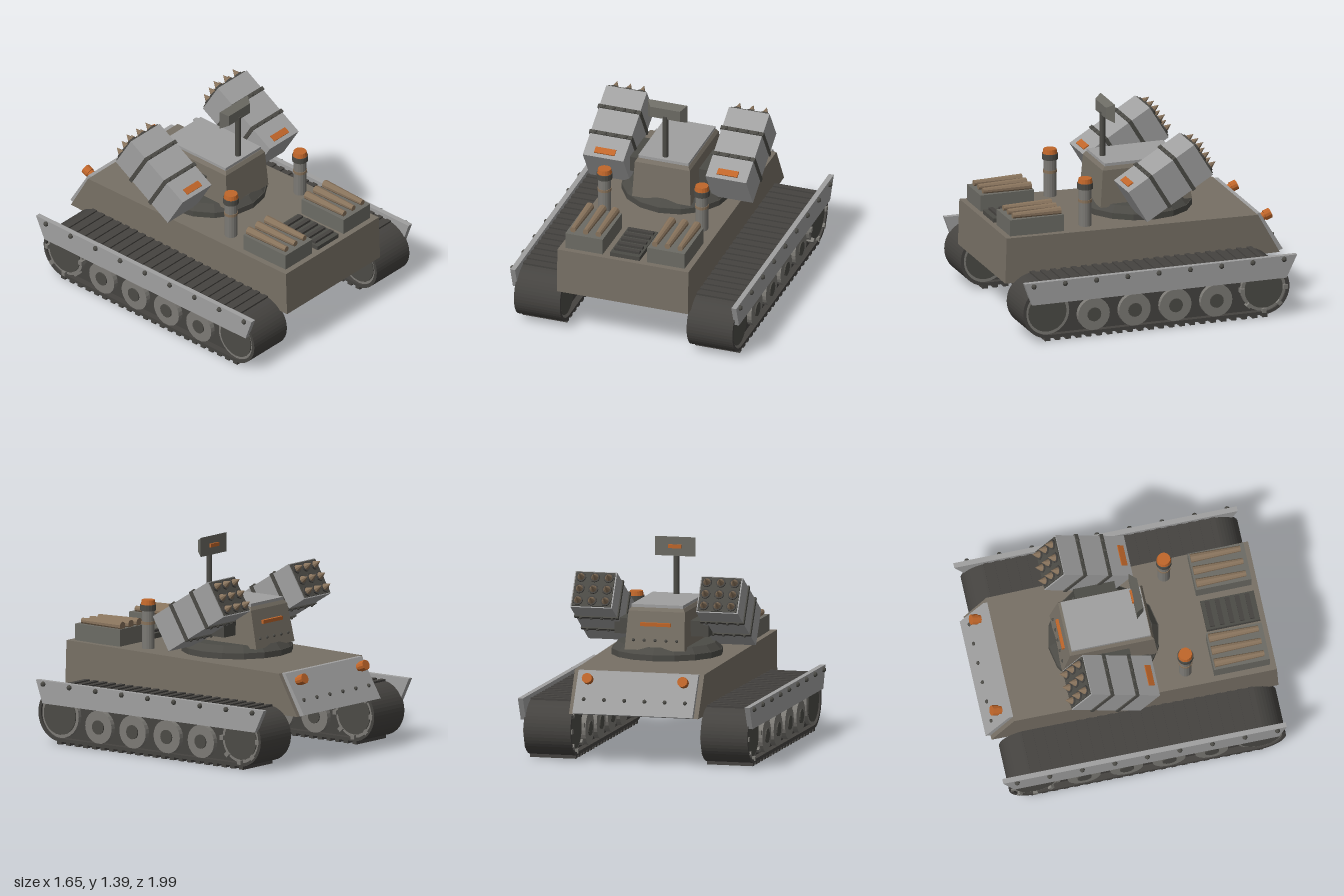
import * as THREE from 'three';

const mat = (color) => new THREE.MeshStandardMaterial({ color, flatShading: true });
const HULL = mat(0x777065), STEEL = mat(0xa0a0a0), DARK = mat(0x4c4b46), TRACK = mat(0x454340),
  WHEEL = mat(0x7c7a75), ORANGE = mat(0xc0662a), WOOD = mat(0x88735c), PANEL = mat(0x6c6b64);

function add(parent, name, geometry, material, x = 0, y = 0, z = 0) {
  const m = new THREE.Mesh(geometry, material);
  m.name = name;
  m.position.set(x, y, z);
  parent.add(m);
  return m;
}
function group(parent, name, x = 0, y = 0, z = 0) {
  const g = new THREE.Group();
  g.name = name;
  g.position.set(x, y, z);
  parent.add(g);
  return g;
}
const box = (w, h, d) => new THREE.BoxGeometry(w, h, d);
const cyl = (r1, r2, h, n = 16) => new THREE.CylinderGeometry(r1, r2, h, n);
const axle = (r, w, n = 24) => cyl(r, r, w, n).rotateZ(Math.PI / 2);
const bolt = (r = 0.014) => new THREE.SphereGeometry(r, 8, 6);

// Side profile of [z, y] points, extruded across x and centred
function across(shape, width, curveSegments = 12) {
  return new THREE.ExtrudeGeometry(shape, { depth: width, bevelEnabled: false, curveSegments })
    .translate(0, 0, -width / 2).rotateY(-Math.PI / 2);
}
const polygon = (pts) => new THREE.Shape(pts.map((p) => new THREE.Vector2(...p)));

function stadium(half, r, Type = THREE.Shape) {
  const s = new Type(), cz = 0.03, cy = 0.205;
  s.absarc(cz + half, cy, r, -Math.PI / 2, Math.PI / 2, false);
  s.absarc(cz - half, cy, r, Math.PI / 2, Math.PI * 1.5, false);
  s.closePath();
  return s;
}

// Six-sided block between two rectangles [x half width, z min, z max]
function frustum(y0, [w0, a0, b0], y1, [w1, a1, b1]) {
  const g = box(2, 2, 2), p = g.attributes.position;
  for (let i = 0; i < p.count; i++) {
    const up = p.getY(i) > 0, far = p.getZ(i) > 0;
    p.setXYZ(i, p.getX(i) * (up ? w1 : w0), up ? y1 : y0, far ? (up ? b1 : b0) : (up ? a1 : a0));
  }
  g.computeVertexNormals();
  return g;
}

function buildHull(root) {
  const g = group(root, 'hull');
  const geo = across(polygon([[0.99, 0.33], [0.98, 0.645], [-0.81, 0.612], [-0.965, 0.335]]), 0.92);
  const p = geo.attributes.position;
  for (let i = 0; i < p.count; i++) p.setX(i, p.getX(i) * (0.99 + 0.02 * p.getZ(i)));
  geo.computeVertexNormals();
  add(g, 'hullBody', geo, HULL);

  // Sloped nose plate with bolts and lamps
  add(g, 'nosePlate', across(polygon([[-0.81, 0.612], [-0.838, 0.612], [-0.998, 0.345], [-0.965, 0.335]]), 0.83), STEEL);
  for (let i = 0; i < 6; i++) add(g, 'noseBolt', bolt(), DARK, -0.35 + i * 0.14, 0.435, -0.945);
  for (const s of [-1, 1]) {
    const lamp = group(g, 'noseLamp', s * 0.33, 0.565, -0.905);
    lamp.rotation.x = -1.2;
    add(lamp, 'lampBase', cyl(0.028, 0.028, 0.06, 12), ORANGE);
    add(lamp, 'lampHead', cyl(0.035, 0.035, 0.045, 12), ORANGE, 0, 0.015);
  }

  // Engine grille
  add(g, 'grilleFrame', box(0.21, 0.035, 0.365), DARK, 0, 0.655, 0.76);
  for (let i = 0; i < 5; i++) add(g, 'grilleSlat', box(0.18, 0.018, 0.03), TRACK, 0, 0.68, 0.62 + i * 0.068);

  for (const s of [-1, 1]) {
    // Stowage bins carrying tapered logs
    add(g, 'stowageBin', box(0.265, 0.115, 0.38), PANEL, s * 0.29, 0.698, 0.75);
    for (const x of [0.2, 0.29, 0.38])
      add(g, 'log', cyl(0.02, 0.03, 0.34, 10).rotateX(Math.PI / 2), WOOD, s * x, 0.773, 0.74);

    // Beacon posts
    const b = group(g, 'beaconPost', s * 0.345, 0, 0.38);
    add(b, 'post', cyl(0.043, 0.043, 0.27), WHEEL, 0, 0.775);
    add(b, 'postBand', cyl(0.047, 0.047, 0.02), WOOD, 0, 0.815);
    add(b, 'collar', cyl(0.054, 0.054, 0.04), DARK, 0, 0.918);
    add(b, 'beacon', cyl(0.044, 0.05, 0.032), ORANGE, 0, 0.953);
  }
}

function buildTrack(root, s) {
  const g = group(root, s > 0 ? 'leftTrack' : 'rightTrack', s * 0.612);
  const belt = stadium(0.76, 0.185);
  belt.holes.push(stadium(0.76, 0.163, THREE.Path));
  add(g, 'belt', across(belt, 0.325), TRACK);
  add(g, 'innerCore', across(stadium(0.76, 0.163), 0.24), TRACK);

  // Cleats on the straight runs
  for (let i = 0; i < 22; i++) {
    const z = 0.8 - i * 0.0735;
    add(g, 'cleat', box(0.318, 0.025, 0.036), TRACK, 0, 0.0125, z);
    add(g, 'cleat', box(0.318, 0.02, 0.036), TRACK, 0, 0.39, z);
  }

  // Road wheels, idler and toothed sprocket
  for (const z of [0.47, 0.18, -0.11, -0.4]) {
    add(g, 'roadWheel', axle(0.112, 0.312), WHEEL, 0, 0.152, z);
    add(g, 'wheelHub', axle(0.048, 0.33, 16), DARK, 0, 0.152, z);
  }
  add(g, 'idlerRim', axle(0.157, 0.296), WHEEL, 0, 0.2, 0.8);
  add(g, 'idlerDisc', axle(0.135, 0.31), DARK, 0, 0.2, 0.8);
  add(g, 'sprocket', axle(0.157, 0.296), WHEEL, 0, 0.2, -0.735);
  add(g, 'sprocketDisc', axle(0.135, 0.31), DARK, 0, 0.2, -0.735);
  for (let i = 0; i < 8; i++) {
    const a = (i * Math.PI) / 4;
    const t = add(g, 'sprocketTooth', box(0.34, 0.03, 0.03), WHEEL, 0, 0.2 + 0.152 * Math.sin(a), -0.735 + 0.152 * Math.cos(a));
    t.rotation.x = -a;
  }

  // Side skirt with bolts
  const skirt = polygon([[0.92, 0.27], [0.975, 0.425], [-0.96, 0.425], [-0.885, 0.27]]);
  add(g, 'sideSkirt', across(skirt, 0.035), STEEL, s * 0.172);
  for (let i = 0; i < 9; i++) add(g, 'skirtBolt', bolt(0.018), DARK, s * 0.194, 0.402, 0.91 - i * 0.222);
}

function buildTurret(root) {
  const g = group(root, 'turret');
  add(g, 'turretRing', cyl(0.375, 0.375, 0.04), DARK, 0, 0.655, -0.105);
  add(g, 'turretRingTop', cyl(0.33, 0.37, 0.045), DARK, 0, 0.6975, -0.105);
  add(g, 'turretBody', frustum(0.7, [0.207, -0.43, 0.22], 0.955, [0.195, -0.375, 0.2]), HULL);
  add(g, 'turretEdge', frustum(0.955, [0.195, -0.375, 0.2], 0.978, [0.18, -0.36, 0.185]), HULL);
  add(g, 'roofPlate', box(0.355, 0.022, 0.54), STEEL, 0, 0.987, -0.09);
  add(g, 'visionSlit', box(0.21, 0.024, 0.03), ORANGE, 0, 0.87, -0.397);
  for (let i = 0; i < 5; i++) add(g, 'turretBolt', bolt(0.011), DARK, -0.15 + i * 0.075, 0.765, -0.417);

  // Mast with sensor panel
  add(g, 'mast', cyl(0.02, 0.02, 0.32, 12), DARK, 0, 1.145, 0.133);
  const panel = add(g, 'sensorPanel', frustum(0, [0.14, -0.065, 0.065], 0.05, [0.105, -0.038, 0.038]), PANEL, 0, 1.325, 0.095);
  panel.rotation.x = Math.PI / 2;
  add(g, 'sensorLight', box(0.09, 0.025, 0.016), ORANGE, 0, 1.325, 0.09);

  for (const s of [-1, 1]) {
    add(g, 'podArm', box(0.15, 0.105, 0.28), DARK, s * 0.25, 0.83, -0.11);
    buildPod(g, s * 0.435);
  }
}

// Raised launcher pod: bands, bolts and a 3 x 3 block of spiked rockets
function buildPod(parent, x) {
  const g = group(parent, 'rocketPod', x, 0.943, -0.143);
  g.rotation.x = 0.545;
  add(g, 'podCase', box(0.288, 0.26, 0.545), STEEL);
  add(g, 'podLabel', box(0.145, 0.012, 0.045), ORANGE, 0, 0.132, 0.222);
  for (const z of [0.09, -0.11]) {
    add(g, 'podBand', box(0.304, 0.276, 0.026), DARK, 0, 0, z);
    for (let i = 0; i < 4; i++)
      for (const y of [-0.138, 0.138]) add(g, 'bandBolt', bolt(0.012), DARK, -0.11 + i * 0.073, y, z);
  }
  add(g, 'podFace', box(0.27, 0.245, 0.012), DARK, 0, 0, -0.275);
  for (let i = -1; i <= 1; i++)
    for (let j = -1; j <= 1; j++) {
      add(g, 'rocketTube', cyl(0.034, 0.034, 0.014, 12).rotateX(Math.PI / 2), TRACK, i * 0.095, j * 0.084, -0.284);
      add(g, 'rocketTip', new THREE.ConeGeometry(0.027, 0.055, 8).rotateX(-Math.PI / 2), WOOD, i * 0.095, j * 0.084, -0.315);
    }
}

export function createModel() {
  const root = new THREE.Group();
  root.name = 'rocketTank';
  buildHull(root);
  for (const s of [-1, 1]) buildTrack(root, s);
  buildTurret(root);
  return root;
}
